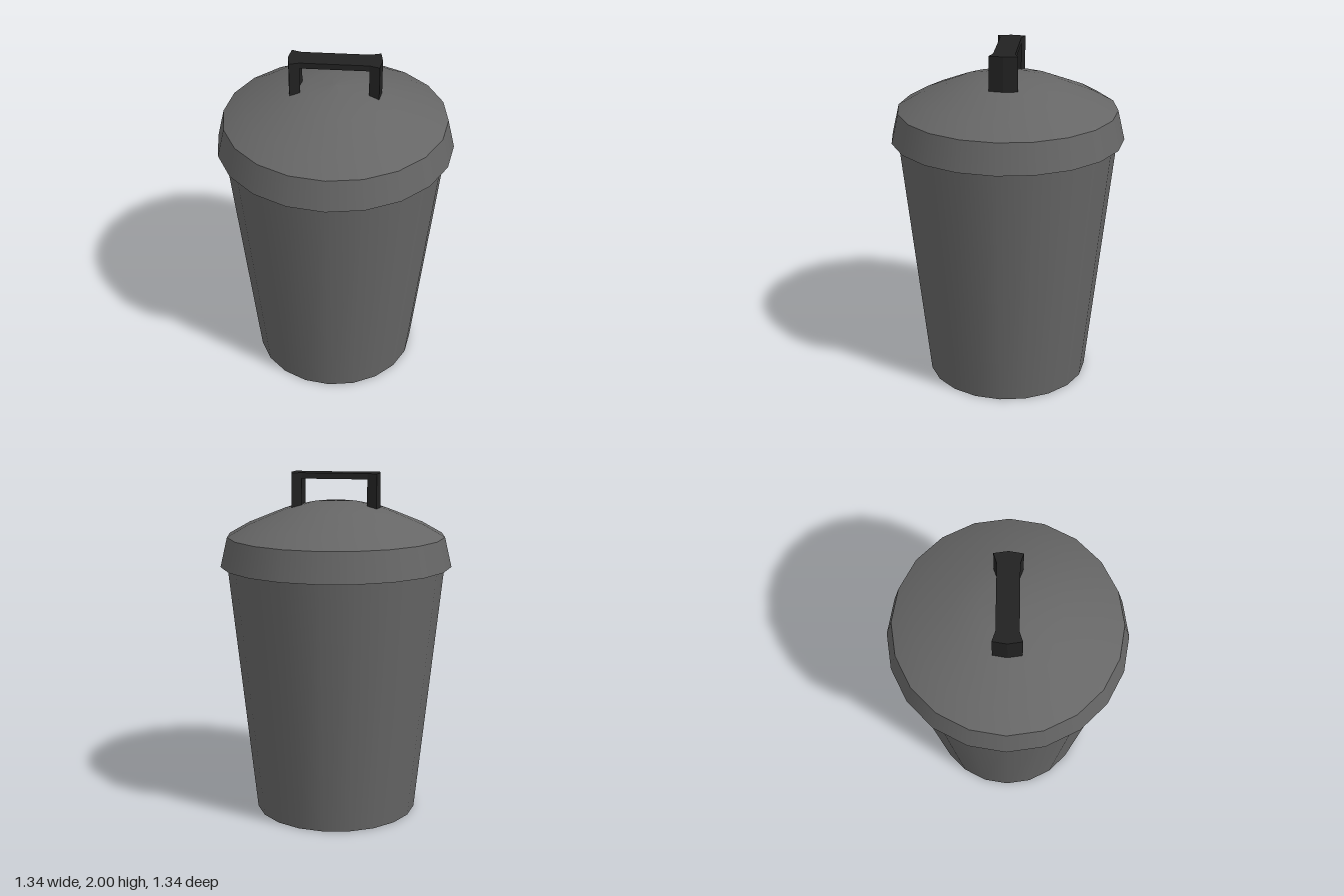
import * as THREE from 'three';

const SIDES = 20;

export function createModel() {
  const group = new THREE.Group();
  group.name = 'trashCan';
  const metal = new THREE.MeshStandardMaterial({ color: 0x666666 });
  const dark = new THREE.MeshStandardMaterial({ color: 0x222222 });

  const add = (name, geometry, material, parent = group) => {
    const mesh = new THREE.Mesh(geometry, material);
    mesh.name = name;
    parent.add(mesh);
    return mesh;
  };
  const lathe = (points) =>
    new THREE.LatheGeometry(points.map(([r, y]) => new THREE.Vector2(r, y)), SIDES);

  // Tapered bin with a closed floor
  add('body', new THREE.CylinderGeometry(0.63, 0.475, 1.47, SIDES), metal).position.y = 0.735;

  // Lid: flat underside lip, flared rim and shallow dome
  const lid = new THREE.Group();
  lid.name = 'lid';
  group.add(lid);
  add('lidUnderside', lathe([[0.6, 1.47], [0.67, 1.47]]), metal, lid);
  add('lidRim', lathe([[0.67, 1.47], [0.63, 1.64]]), metal, lid);
  add('lidDome', lathe([[0.63, 1.64], [0.51, 1.708], [0.3, 1.793], [0.15, 1.828], [0, 1.84]]), metal, lid);

  // Handle: two wedge-shaped posts joined by a thin bar
  const handle = new THREE.Group();
  handle.name = 'handle';
  group.add(handle);
  const a = Math.PI / 10;
  const inner = 0.198, outer = 0.257;
  const at = (r, angle) => new THREE.Vector2(r * Math.cos(angle), r * Math.sin(angle));
  const wedge = new THREE.Shape([
    at(inner, -a), at(outer, -a), at(outer, 0), at(outer, a), at(inner, a), at(inner, 0),
  ]);
  const post = new THREE.ExtrudeGeometry(wedge, { depth: 0.2, bevelEnabled: false });
  post.rotateX(-Math.PI / 2);
  for (const [name, turn] of [['leftPost', 0], ['rightPost', Math.PI]]) {
    const mesh = add(name, post, dark, handle);
    mesh.position.y = 1.8;
    mesh.rotation.y = turn;
  }
  const x = inner * Math.cos(a), z = inner * Math.sin(a);
  const barShape = new THREE.Shape([
    [-x, -z], [x, -z], [inner, 0], [x, z], [-x, z], [-inner, 0],
  ].map(([px, py]) => new THREE.Vector2(px, py)));
  const bar = new THREE.ExtrudeGeometry(barShape, { depth: 0.033, bevelEnabled: false });
  bar.rotateX(-Math.PI / 2);
  add('handleBar', bar, dark, handle).position.y = 1.967;

  return group;
}
